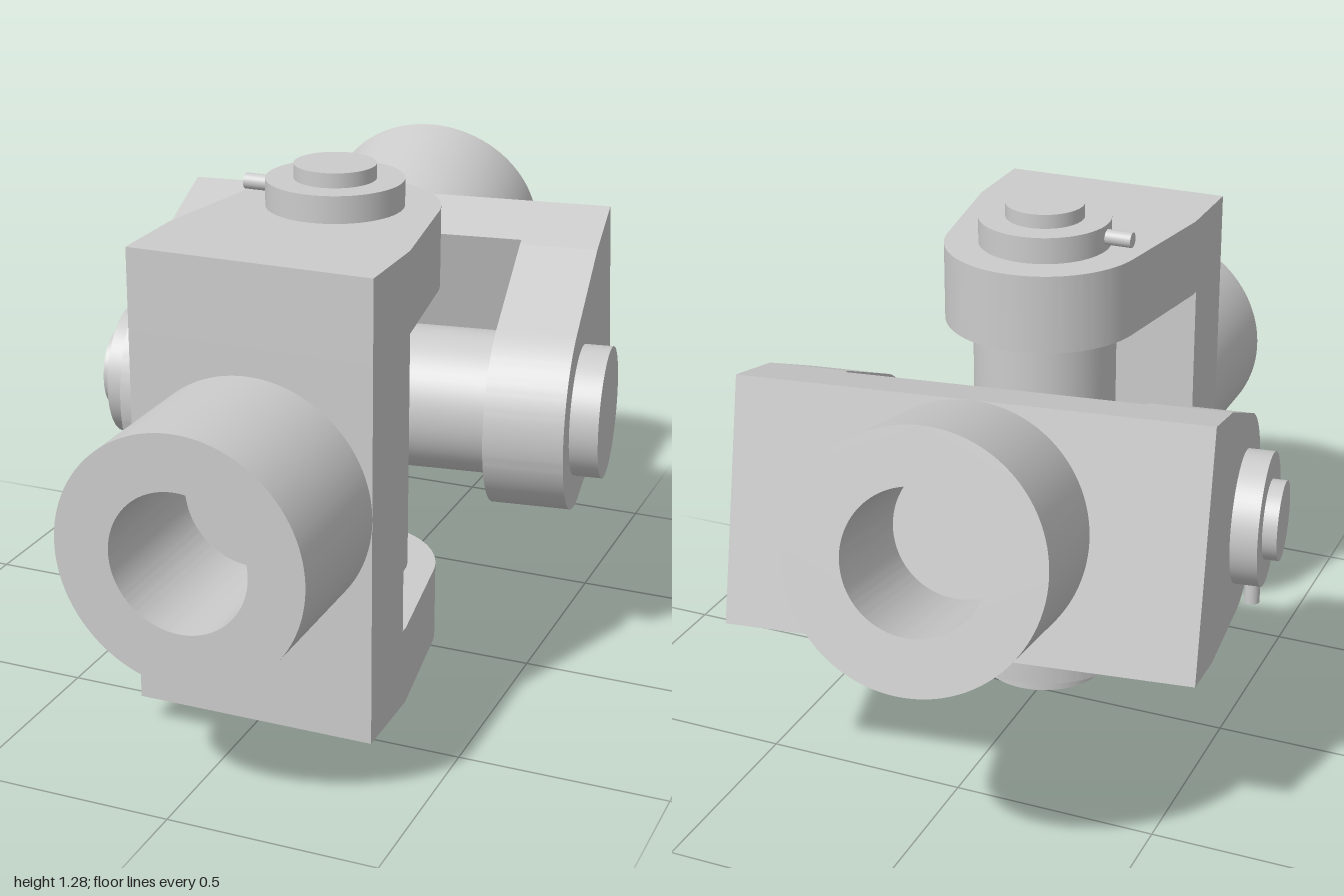
import * as THREE from 'three';
import { toCreasedNormals } from 'three/addons/utils/BufferGeometryUtils.js';

const material = new THREE.MeshStandardMaterial({ color: 0xcccccc });

function part(name, geometry, x = 0, y = 0, z = 0) {
  const mesh = new THREE.Mesh(geometry, material);
  mesh.name = name;
  mesh.position.set(x, y, z);
  return mesh;
}

// Upright cylinder spanning y0..y1
const cylinder = (name, r, y0, y1) =>
  part(name, new THREE.CylinderGeometry(r, r, y1 - y0, 64), 0, (y0 + y1) / 2, 0);

// Yoke: pin axis along y, shaft socket towards +z
function createYoke(name) {
  const yoke = new THREE.Group();
  yoke.name = name;
  const halfWidth = 0.293, back = 0.488, eyeRadius = 0.247, tangent = 0.155;
  const armOuter = 0.555, armInner = 0.36, slotFloor = 0.295;

  // Two tapered arms with rounded ends
  const outline = new THREE.Shape();
  outline.moveTo(halfWidth, back);
  outline.lineTo(-halfWidth, back);
  outline.lineTo(-halfWidth, 0.275);
  outline.absarc(0, 0, eyeRadius, Math.PI + tangent, 2 * Math.PI - tangent, false);
  outline.lineTo(halfWidth, 0.275);
  outline.closePath();
  const depth = armOuter - armInner;
  const arm = toCreasedNormals(
    new THREE.ExtrudeGeometry(outline, { depth, bevelEnabled: false, curveSegments: 36 })
      .rotateX(Math.PI / 2), 0.12);
  yoke.add(part('upperArm', arm, 0, armOuter, 0));
  yoke.add(part('lowerArm', arm, 0, -armInner, 0));

  // Web joining the arms
  yoke.add(part('web', new THREE.BoxGeometry(2 * halfWidth, 2 * armInner, back - slotFloor),
    0, 0, (back + slotFloor) / 2));

  // Hollow shaft socket, its bore ending at the web
  const ring = new THREE.Shape().absarc(0, 0, halfWidth, 0, 2 * Math.PI, false);
  ring.holes.push(new THREE.Path().absarc(0, 0, 0.163, 0, 2 * Math.PI, true));
  const socket = toCreasedNormals(
    new THREE.ExtrudeGeometry(ring, { depth: 0.853 - back, bevelEnabled: false, curveSegments: 64 }), 0.5);
  yoke.add(part('shaftSocket', socket, 0, 0, back));
  return yoke;
}

// Pin along y with a collar at the top, held by a small cross peg
function createPin(name, pegSide) {
  const pin = new THREE.Group();
  pin.name = name;
  pin.add(cylinder('trunnion', 0.178, -0.36, 0.36));
  pin.add(cylinder('pinHead', 0.163, -0.625, -0.36));
  pin.add(cylinder('collar', 0.163, 0.36, 0.62));
  pin.add(cylinder('pinTip', 0.097, 0.62, 0.655));
  const peg = part('retainingPeg', new THREE.CylinderGeometry(0.019, 0.019, 0.128, 24),
    pegSide * 0.164, 0.588, 0);
  peg.rotation.z = Math.PI / 2;
  pin.add(peg);
  return pin;
}

// Aim local y along up and local z along forward
function place(object, position, up, forward) {
  const side = new THREE.Vector3().crossVectors(up, forward);
  object.quaternion.setFromRotationMatrix(new THREE.Matrix4().makeBasis(side, up, forward));
  object.position.copy(position);
  return object;
}

export function createModel() {
  const model = new THREE.Group();
  model.name = 'universalJoint';

  // Front half: upright pin
  const frontCentre = new THREE.Vector3(0.043, 0.625, 0.147);
  for (const half of [createYoke('frontYoke'), createPin('uprightPin', -1)]) {
    half.position.copy(frontCentre);
    model.add(half);
  }

  // Rear half: swung about the upright pin, then tilted about its own pin
  const yaw = THREE.MathUtils.degToRad(7.9), tilt = THREE.MathUtils.degToRad(15);
  const level = new THREE.Vector3(-Math.sin(yaw), 0, -Math.cos(yaw));
  const axis = new THREE.Vector3(-Math.cos(yaw), 0, Math.sin(yaw));
  const raised = level.clone().multiplyScalar(Math.cos(tilt));
  raised.y = Math.sin(tilt);
  const rearCentre = frontCentre.clone().addScaledVector(level, 0.255);
  model.add(place(createYoke('rearYoke'), rearCentre, axis, raised));
  model.add(place(createPin('crossPin', 1), rearCentre, axis, level));
  return model;
}
